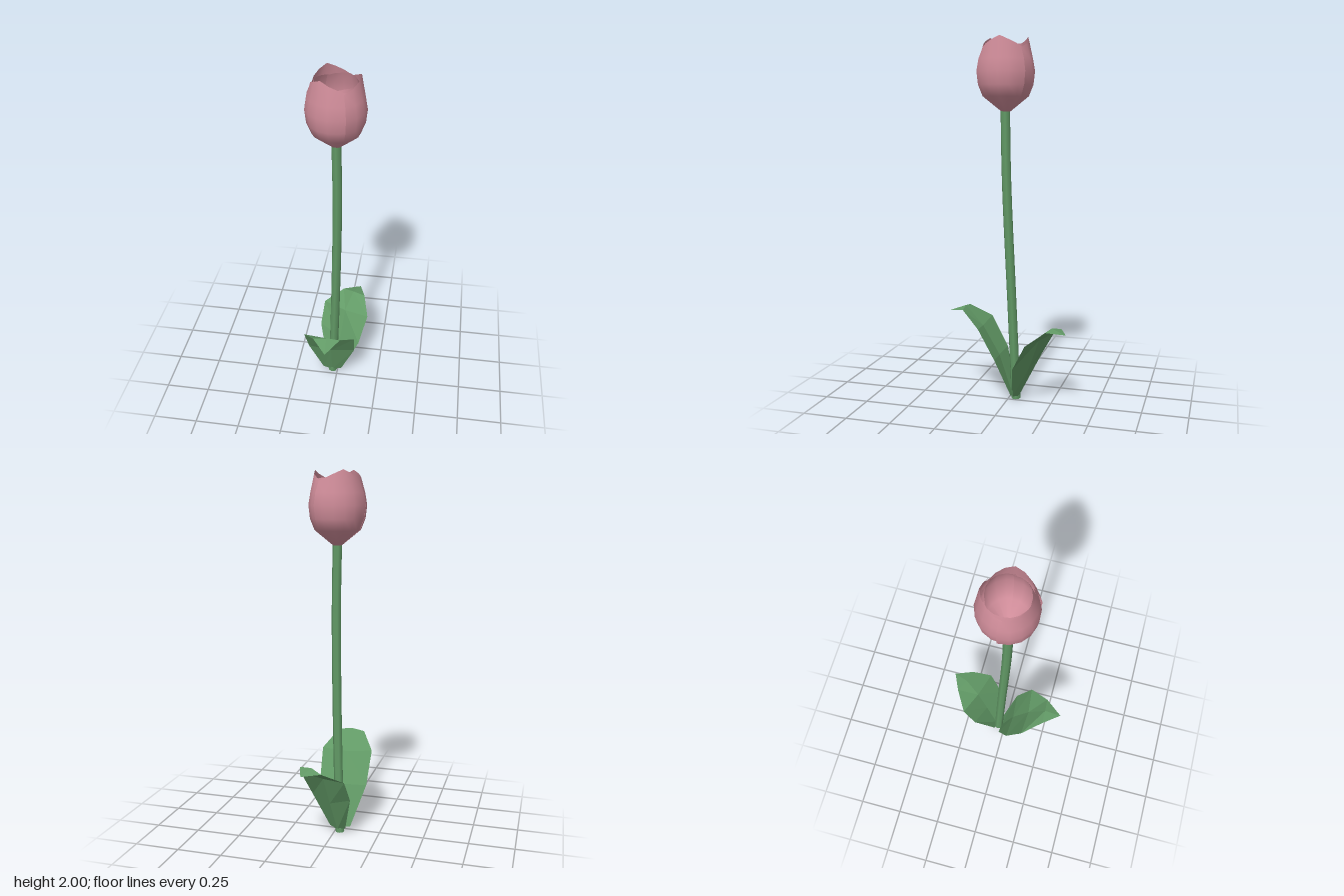
import * as THREE from 'three';

const stemGreen = new THREE.MeshStandardMaterial({ color: 0x629a66, side: THREE.DoubleSide });
stemGreen.name = 'leaf green';
const leafGreen = stemGreen;
const petalPink = new THREE.MeshStandardMaterial({ color: 0xcf8c99, side: THREE.DoubleSide });
petalPink.name = 'petal pink';

// Skin a surface through rows of points, all rows of equal length
function loft(rows) {
  const n = rows[0].length;
  const index = [];
  for (let i = 0; i < rows.length - 1; i++) {
    for (let j = 0; j < n - 1; j++) {
      const a = i * n + j, b = a + n;
      index.push(a, a + 1, b + 1, a, b + 1, b);
    }
  }
  const geo = new THREE.BufferGeometry();
  geo.setAttribute('position', new THREE.Float32BufferAttribute(rows.flat(2), 3));
  geo.setIndex(index);
  geo.computeVertexNormals();
  return geo;
}

function addMesh(parent, name, geo, material) {
  const mesh = new THREE.Mesh(geo, material);
  mesh.name = name;
  parent.add(mesh);
  return mesh;
}

// Curved petal: follows the cup profile, peaked in the middle of its upper edge
function petal(angle, halfWidth, scale, edgeY, tipY) {
  const profile = [[0.024, 1.61], [0.122, 1.69], [0.146, 1.75], [0.154, 1.82], [0.143, 1.885], [0.122, 1.945]];
  const steps = 6;
  return loft(profile.map(([r, y], i) => {
    const row = [];
    for (let j = 0; j <= steps; j++) {
      const t = (j / steps) * 2 - 1;
      const a = angle + t * halfWidth;
      const top = i === profile.length - 1;
      const radius = r * scale * (1 + 0.025 * t);
      const height = top ? edgeY + (tipY - edgeY) * (1 - Math.abs(t)) : y + (1 - scale) * 0.1;
      row.push([Math.cos(a) * radius, height, 0.01 + Math.sin(a) * radius]);
    }
    return row;
  }));
}

export function createModel() {
  const model = new THREE.Group();
  model.name = 'flower';

  // Gently bent stem with closed ends
  const path = new THREE.CatmullRomCurve3([
    [-0.03, 0.003, -0.04], [-0.012, 0.52, -0.022], [0.004, 1.24, 0.006], [0, 1.63, 0.014],
  ].map((p) => new THREE.Vector3(...p)));
  const stem = new THREE.Group();
  stem.name = 'stem';
  model.add(stem);
  addMesh(stem, 'stalk', new THREE.TubeGeometry(path, 12, 0.026, 7), stemGreen);
  for (const end of [0, 1]) {
    const cap = addMesh(stem, 'stalkEnd', new THREE.CircleGeometry(0.026, 7), stemGreen);
    cap.position.copy(path.getPointAt(end));
    cap.rotation.x = end ? -Math.PI / 2 : Math.PI / 2;
  }

  // Blossom: three outer petals around three inner ones
  const blossom = new THREE.Group();
  blossom.name = 'blossom';
  model.add(blossom);
  for (let k = 0; k < 3; k++) {
    const a = (k * 2 * Math.PI) / 3;
    addMesh(blossom, 'outerPetal', petal(a, 1.13, 1, 1.94, 2.0), petalPink);
    addMesh(blossom, 'innerPetal', petal(a + Math.PI / 3, 1.1, 0.88, 1.945, 1.96), petalPink);
  }

  // Leaves: rows of edge, midrib, edge from the base to the drooping tip
  const frontTip = [-0.015, 0.49, 0.345];
  const frontLeaf = loft([
    [[-0.085, 0.03, -0.025], [-0.03, 0.02, -0.02], [0.025, 0.03, -0.025]],
    [[-0.16, 0.26, 0.045], [-0.025, 0.25, 0.055], [0.113, 0.26, 0.045]],
    [[-0.168, 0.435, 0.14], [-0.02, 0.415, 0.15], [0.122, 0.43, 0.135]],
    [[-0.095, 0.512, 0.25], [-0.02, 0.525, 0.25], [0.055, 0.515, 0.245]],
    [frontTip, frontTip, frontTip],
  ]);
  const backTip = [0.1, 0.43, -0.35];
  const backLeaf = loft([
    [[0.03, 0.03, -0.035], [-0.02, 0.02, -0.06], [-0.065, 0.03, -0.055]],
    [[0.125, 0.22, -0.06], [0.005, 0.2, -0.125], [-0.122, 0.25, -0.17]],
    [[0.167, 0.37, -0.14], [0.025, 0.365, -0.185], [-0.108, 0.375, -0.24]],
    [[0.135, 0.445, -0.245], [0.065, 0.452, -0.265], [0, 0.435, -0.305]],
    [backTip, backTip, backTip],
  ]);
  for (const [name, geo] of [['frontLeaf', frontLeaf], ['backLeaf', backLeaf]]) {
    const flat = geo.toNonIndexed();
    flat.computeVertexNormals();
    addMesh(model, name, flat, leafGreen);
  }
  return model;
}
